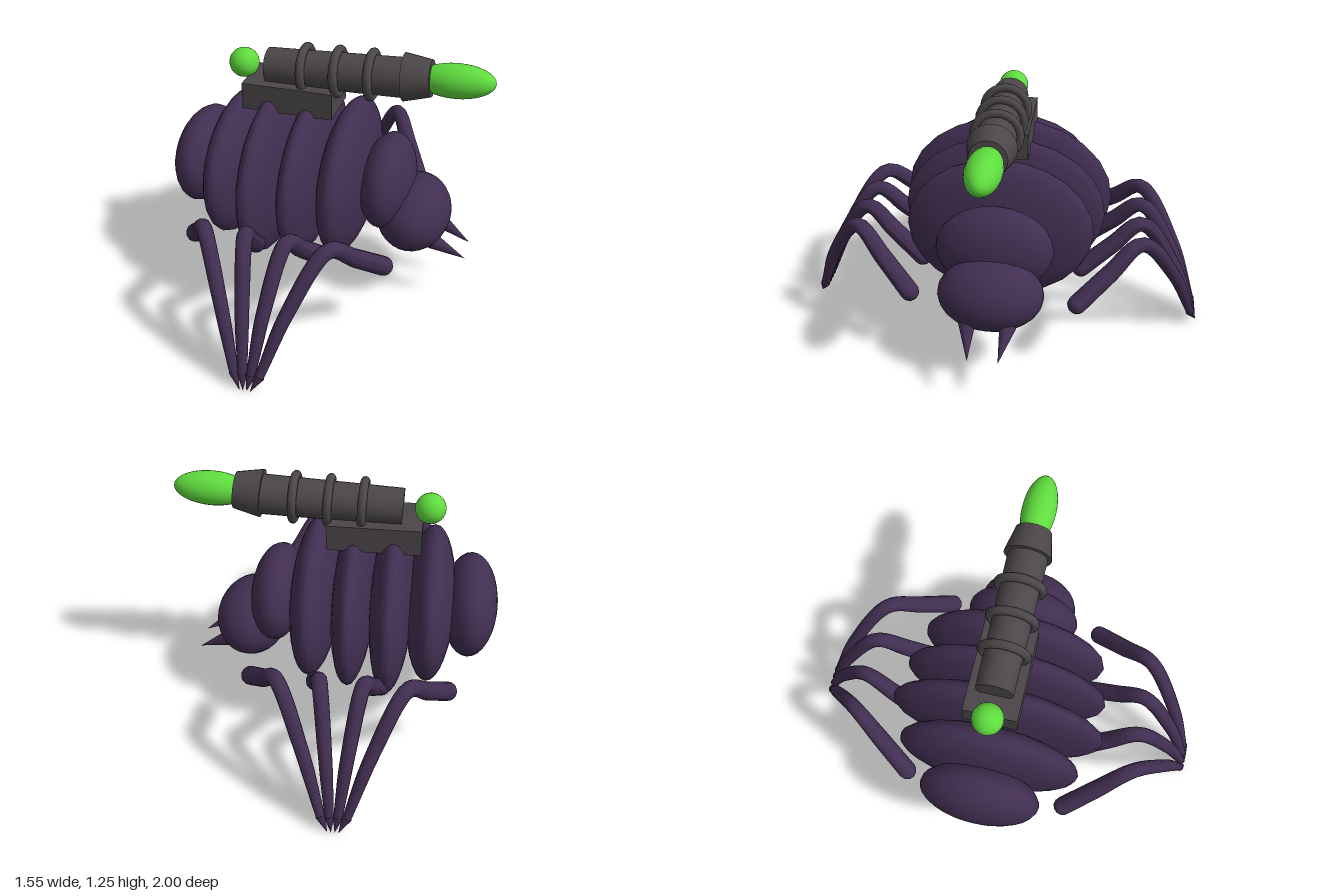
import * as THREE from 'three';

const mat = (name, color) => Object.assign(new THREE.MeshStandardMaterial({ color }), { name });
const V = (x, y, z) => new THREE.Vector3(x, y, z);

export function createModel() {
  const model = new THREE.Group();
  const purple = mat('dark purple shell', 0x412e51);
  const grey = mat('gunmetal', 0x4b4649);
  const green = mat('glowing green', 0x5fdc3e);

  const add = (name, geometry, material, position, parent = model) => {
    const mesh = new THREE.Mesh(geometry, material);
    mesh.name = name;
    mesh.position.copy(position);
    parent.add(mesh);
    return mesh;
  };

  // Ellipsoid with its poles along x
  const ellipsoid = (name, material, pos, rx, ry, rz, parent) =>
    add(name, new THREE.SphereGeometry(1, 24, 16).rotateZ(-Math.PI / 2).scale(rx, ry, rz), material, pos, parent);

  // Cone whose base is centred on one point and whose tip is at another
  const spike = (name, from, to, radius, parent) => {
    const dir = to.clone().sub(from);
    const cone = add(name, new THREE.ConeGeometry(radius, dir.length(), 12), purple,
      from.clone().lerp(to, 0.5), parent);
    cone.quaternion.setFromUnitVectors(V(0, 1, 0), dir.normalize());
  };

  // Body rings, rear to front: x, half length, half height, half width
  [
    [-0.645, 0.135, 0.235, 0.29],
    [-0.455, 0.12, 0.352, 0.44],
    [-0.267, 0.108, 0.415, 0.525],
    [-0.08, 0.104, 0.395, 0.5],
    [0.11, 0.118, 0.37, 0.455],
    [0.3, 0.13, 0.222, 0.28],
  ].forEach(([x, rx, ry, rz], i) => ellipsoid(`bodySegment${i + 1}`, purple, V(x, 0.578, 0), rx, ry, rz));

  // Head and fangs
  ellipsoid('head', purple, V(0.435, 0.42, 0), 0.18, 0.175, 0.25);
  for (const s of [1, -1]) spike('fang', V(0.55, 0.325, 0.095 * s), V(0.71, 0.235, 0.07 * s), 0.04);

  // Tapered limb swept along a curve
  const limb = (points, radii) => {
    const path = new THREE.CatmullRomCurve3(points, false, 'centripetal');
    const steps = 32, sides = 12;
    const geo = new THREE.TubeGeometry(path, steps, 1, sides);
    const pos = geo.attributes.position, p = V(0, 0, 0);
    for (let i = 0; i <= steps; i++) {
      const t = (i / steps) * (radii.length - 1);
      const k = Math.min(Math.floor(t), radii.length - 2);
      const r = THREE.MathUtils.lerp(radii[k], radii[k + 1], t - k);
      const centre = path.getPointAt(i / steps);
      for (let j = 0; j <= sides; j++) {
        const n = i * (sides + 1) + j;
        p.fromBufferAttribute(pos, n).sub(centre).multiplyScalar(r).add(centre);
        pos.setXYZ(n, p.x, p.y, p.z);
      }
    }
    geo.computeVertexNormals();
    return geo;
  };

  // Four legs on each side, fanning out from feet that nearly meet
  for (const s of [1, -1]) {
    for (const f of [-1, -1 / 3, 1 / 3, 1]) {
      const leg = new THREE.Group();
      leg.name = s > 0 ? 'legFrontSide' : 'legBackSide';
      model.add(leg);
      const at = (x, y, z) => V(-0.092 + x * f, y, z * s);
      const hip = at(0.47, 0.355, 0.4), ankle = at(0.06, 0.07, 0.967);
      add('limb', limb([hip, at(0.375, 0.48, 0.545), at(0.285, 0.592, 0.68),
        at(0.155, 0.355, 0.853), ankle], [0.046, 0.043, 0.036, 0.034, 0.03, 0.021]), purple, V(0, 0, 0), leg);
      add('hip', new THREE.SphereGeometry(0.046, 12, 10), purple, hip, leg);
      add('ankle', new THREE.SphereGeometry(0.021, 10, 8), purple, ankle, leg);
      spike('claw', ankle, at(0.025, 0, 1), 0.024, leg);
    }
  }

  // Cannon mount
  add('cannonMount', new THREE.BoxGeometry(0.44, 0.13, 0.25), grey, V(-0.175, 0.99, 0));

  // Cannon, tilted slightly upward; x runs along its axis
  const cannon = new THREE.Group();
  cannon.name = 'cannon';
  cannon.position.set(0.035, 1.118, 0);
  cannon.rotation.z = 0.036;
  model.add(cannon);
  const tube = (name, x, rRear, rFront, length) =>
    add(name, new THREE.CylinderGeometry(rFront, rRear, length, 24).rotateZ(-Math.PI / 2), grey, V(x, 0, 0), cannon);
  tube('barrel', 0, 0.087, 0.094, 0.67);
  const nozzle = tube('nozzle', 0.386, 0.113, 0.086, 0.128);
  nozzle.position.y = 0.006;
  nozzle.rotation.z = 0.035;
  for (const x of [-0.15, 0.008, 0.17]) {
    add('barrelRing', new THREE.TorusGeometry(0.104, 0.021, 10, 24).rotateY(Math.PI / 2), grey, V(x, 0, 0), cannon);
  }
  ellipsoid('warhead', green, V(0.56, 0.007, 0), 0.18, 0.081, 0.081, cannon);

  // Glowing ball behind the barrel
  ellipsoid('rearOrb', green, V(-0.425, 1.107, 0), 0.072, 0.072, 0.072);

  return model;
}
